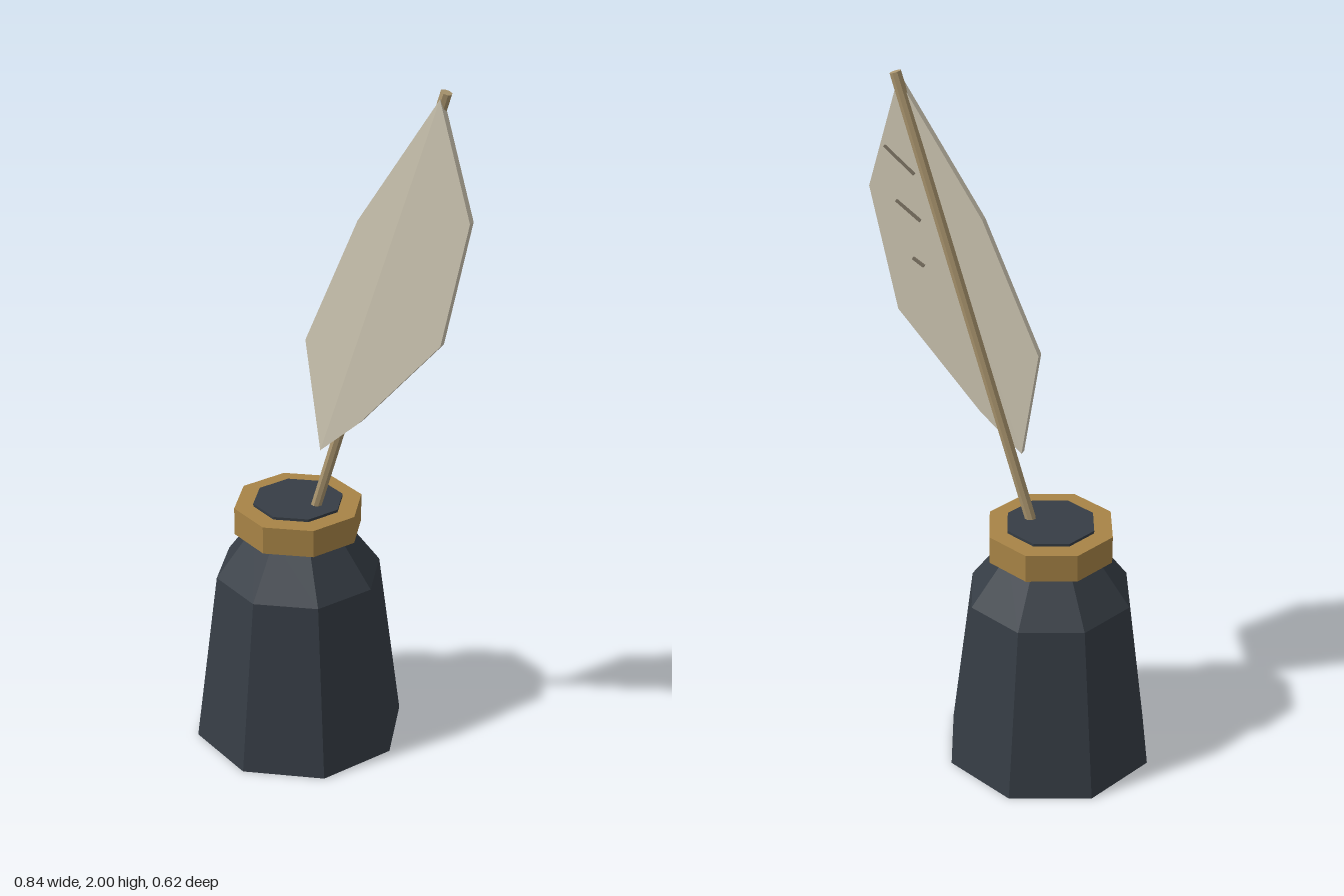
import * as THREE from 'three';

const flat = (name, color) => {
  const m = new THREE.MeshStandardMaterial({ color });
  m.name = name;
  m.flatShading = true;
  return m;
};

export function createModel() {
  const glass = flat('dark glass', 0x363d45);
  const brass = flat('brass', 0xa88446);
  const vaneColour = flat('feather cream', 0xd2cab6);
  const shaftColour = flat('quill tan', 0xac9770);
  const slitColour = flat('feather slit', 0x7d7464);

  const model = new THREE.Group();
  model.name = 'inkwellWithQuill';
  const add = (parent, name, geometry, material) => {
    const mesh = new THREE.Mesh(geometry, material);
    mesh.name = name;
    parent.add(mesh);
    return mesh;
  };
  const lathe = (points) =>
    new THREE.LatheGeometry(points.map(([r, y]) => new THREE.Vector2(r, y)), 8);

  // Eight-sided bottle with a sloping shoulder and a closed neck
  const inkwell = new THREE.Group();
  inkwell.name = 'inkwell';
  inkwell.position.x = -0.11;
  model.add(inkwell);
  add(inkwell, 'bottle', lathe([
    [0, 0], [0.308, 0], [0.24, 0.52], [0.13, 0.67], [0.13, 0.745], [0, 0.745],
  ]), glass);
  add(inkwell, 'collar', lathe([
    [0.125, 0.655], [0.185, 0.655], [0.185, 0.737], [0.125, 0.737],
  ]), brass);

  const quill = new THREE.Group();
  quill.name = 'quill';
  model.add(quill);

  // Leaning shaft
  const foot = new THREE.Vector3(-0.056, 0.72, 0);
  const tip = new THREE.Vector3(0.333, 1.995, 0);
  const along = tip.clone().sub(foot);
  const shaft = add(quill, 'shaft',
    new THREE.CylinderGeometry(0.016, 0.016, along.length(), 8), shaftColour);
  shaft.position.copy(foot).add(tip).multiplyScalar(0.5);
  shaft.quaternion.setFromUnitVectors(new THREE.Vector3(0, 1, 0), along.normalize());

  // Two thin vanes folded along a ridge in front of the shaft
  const ridgeLow = [-0.016, 0.935];
  const ridgeHigh = [0.325, 1.98];
  const ridgeX = (y) => ridgeLow[0]
    + (y - ridgeLow[1]) * (ridgeHigh[0] - ridgeLow[0]) / (ridgeHigh[1] - ridgeLow[1]);
  const vane = (name, outline, slope) => {
    const shape = new THREE.Shape(
      [ridgeLow, ...outline, ridgeHigh].map(([x, y]) => new THREE.Vector2(x, y)));
    const g = new THREE.ExtrudeGeometry(shape, { depth: 0.02, bevelEnabled: false });
    const p = g.attributes.position;
    for (let i = 0; i < p.count; i++) {
      const y = p.getY(i);
      const side = Math.abs(p.getX(i) - ridgeX(y));
      p.setZ(i, p.getZ(i) + 0.013 - 0.0144 * (y - 0.935) - slope * side);
    }
    g.computeVertexNormals();
    add(quill, name, g, vaneColour);
  };
  vane('leftVane', [[0.105, 1.045], [0.344, 1.32], [0.418, 1.67]], 0.03);
  vane('rightVane', [[-0.07, 1.25], [0.09, 1.62]], 0.05);

  // Slits on the back of the left vane
  [[0.285, 1.72, 0.37, 1.79], [0.27, 1.59, 0.34, 1.64], [0.262, 1.46, 0.295, 1.48]]
    .forEach(([x0, y0, x1, y1]) => {
      const slit = add(quill, 'slit',
        new THREE.BoxGeometry(Math.hypot(x1 - x0, y1 - y0), 0.008, 0.009), slitColour);
      slit.position.set((x0 + x1) / 2, (y0 + y1) / 2, 0.0);
      slit.rotation.z = Math.atan2(y1 - y0, x1 - x0);
    });

  return model;
}
